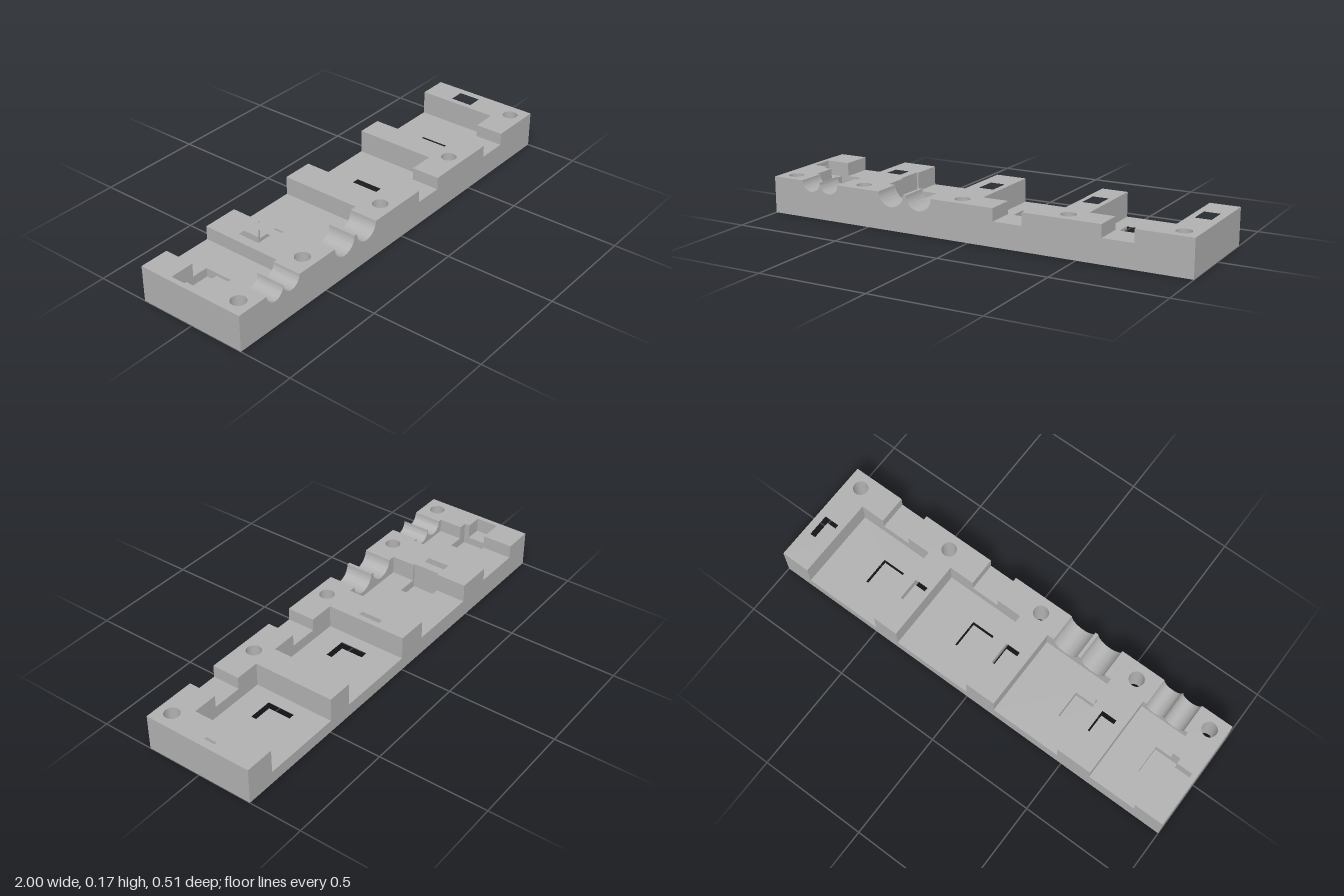
import * as THREE from 'three';
import { toCreasedNormals } from 'three/addons/utils/BufferGeometryUtils.js';

const H = 0.167, BACK = -0.257, FRONT = 0.257, RAIL = 0.125;

export function createModel() {
  const model = new THREE.Group();
  const grey = new THREE.MeshStandardMaterial({ color: 0xb0b0b0 });

  const add = (name, geometry) => {
    const mesh = new THREE.Mesh(toCreasedNormals(geometry, 0.6), grey);
    mesh.name = name;
    model.add(mesh);
    return mesh;
  };
  const box = (name, x0, x1, z0, z1, h) => {
    const g = new THREE.BoxGeometry(x1 - x0, h, z1 - z0);
    g.translate((x0 + x1) / 2, h / 2, (z0 + z1) / 2);
    add(name, g);
  };
  const rect = (x0, x1, z0, z1) => [[x0, z0], [x1, z0], [x1, z1], [x0, z1]];
  const toPoints = (pts) => pts.map(([x, z]) => new THREE.Vector2(x, -z));

  // Upright slab from a plan outline in x, z, with optional openings
  const slab = (name, outline, height, openings = []) => {
    const shape = new THREE.Shape(toPoints(outline));
    shape.holes.push(...openings);
    const g = new THREE.ExtrudeGeometry(shape, { depth: height, bevelEnabled: false, curveSegments: 28 });
    g.rotateX(-Math.PI / 2);
    add(name, g);
  };
  const opening = (r) => new THREE.Path(toPoints(rect(...r)));

  // Slab with a blind rectangular pit
  const pitted = (name, x0, x1, height, pit, floor) => {
    slab(name, rect(x0, x1, BACK, RAIL), height, [opening(pit)]);
    box(name + 'PitFloor', ...pit, floor);
  };

  // Raised dividers with small pits
  const Z0 = -0.115, Z1 = -0.01, Z2 = 0.015, PIT = 0.1;
  pitted('divider', -0.145, 0, H, [-0.098, -0.028, Z0, Z1], PIT);
  pitted('divider', 0.375, 0.495, H, [0.397, 0.47, Z0, Z1], PIT);
  pitted('endDivider', 0.865, 1, H, [0.893, 0.965, Z0, Z1], PIT);

  // Dividers whose edge is undercut by the neighbouring bed pit
  slab('endDivider', [
    [-1, BACK], [-0.865, BACK], [-0.865, Z0], [-0.977, Z0], [-0.977, Z1],
    [-0.903, Z1], [-0.903, Z2], [-0.865, Z2], [-0.865, RAIL], [-1, RAIL],
  ], H);
  box('endDividerPitFloor', -0.977, -0.903, Z0, Z1, PIT);
  slab('divider', [
    [-0.64, BACK], [-0.475, BACK], [-0.475, Z0], [-0.485, Z0],
    [-0.485, Z2], [-0.475, Z2], [-0.475, RAIL], [-0.64, RAIL],
  ], H, [opening([-0.598, -0.527, Z0, Z1])]);
  box('dividerPitFloor', -0.598, -0.527, Z0, Z1, PIT);

  // Sunken beds, open at the back
  pitted('bed', 0, 0.375, 0.06, [0.06, 0.17, Z0, Z2], 0.025);
  pitted('bed', 0.495, 0.865, 0.057, [0.555, 0.665, Z0, Z2], 0.025);
  for (const [x0, x1, p0, p1, h, floor] of [
    [-0.865, -0.64, -0.903, -0.79, 0.105, 0.065],
    [-0.475, -0.145, -0.485, -0.38, 0.082, 0.045],
  ]) {
    slab('bed', [
      [x0, BACK], [x1, BACK], [x1, RAIL], [x0, RAIL],
      [x0, Z2], [p1, Z2], [p1, Z0], [x0, Z0],
    ], h);
    box('bedPitFloor', p0, p1, Z0, Z2, floor);
  }

  // Front rail blocks with round screw holes
  for (const [x0, x1, hx] of [
    [-1, -0.865, -0.93], [-0.64, -0.46, -0.562], [-0.16, 0.12, -0.063],
    [0.255, 0.61, 0.433], [0.75, 1, 0.928],
  ]) {
    const bore = new THREE.Path();
    bore.absarc(hx, -0.19, 0.034, 0, Math.PI * 2, false);
    slab('screwBlock', rect(x0, x1, RAIL, FRONT), H, [bore]);
  }

  // Square cable notches
  box('cableNotch', 0.12, 0.255, RAIL, FRONT, 0.11);
  box('cableNotch', 0.61, 0.75, RAIL, FRONT, 0.11);

  // Paired half-round cable grooves
  for (const [x0, x1, r, centres] of [
    [-0.865, -0.64, 0.047, [-0.8, -0.705]],
    [-0.46, -0.16, 0.062, [-0.38, -0.24]],
  ]) {
    const s = new THREE.Shape();
    s.moveTo(x0, 0);
    s.lineTo(x0, H);
    for (const c of centres) {
      s.lineTo(c - r, H);
      s.absarc(c, H, r, Math.PI, Math.PI * 2, false);
    }
    s.lineTo(x1, H);
    s.lineTo(x1, 0);
    const g = new THREE.ExtrudeGeometry(s, { depth: FRONT - RAIL, bevelEnabled: false, curveSegments: 24 });
    g.translate(0, 0, RAIL);
    add('cableGrooves', g);
  }

  return model;
}
